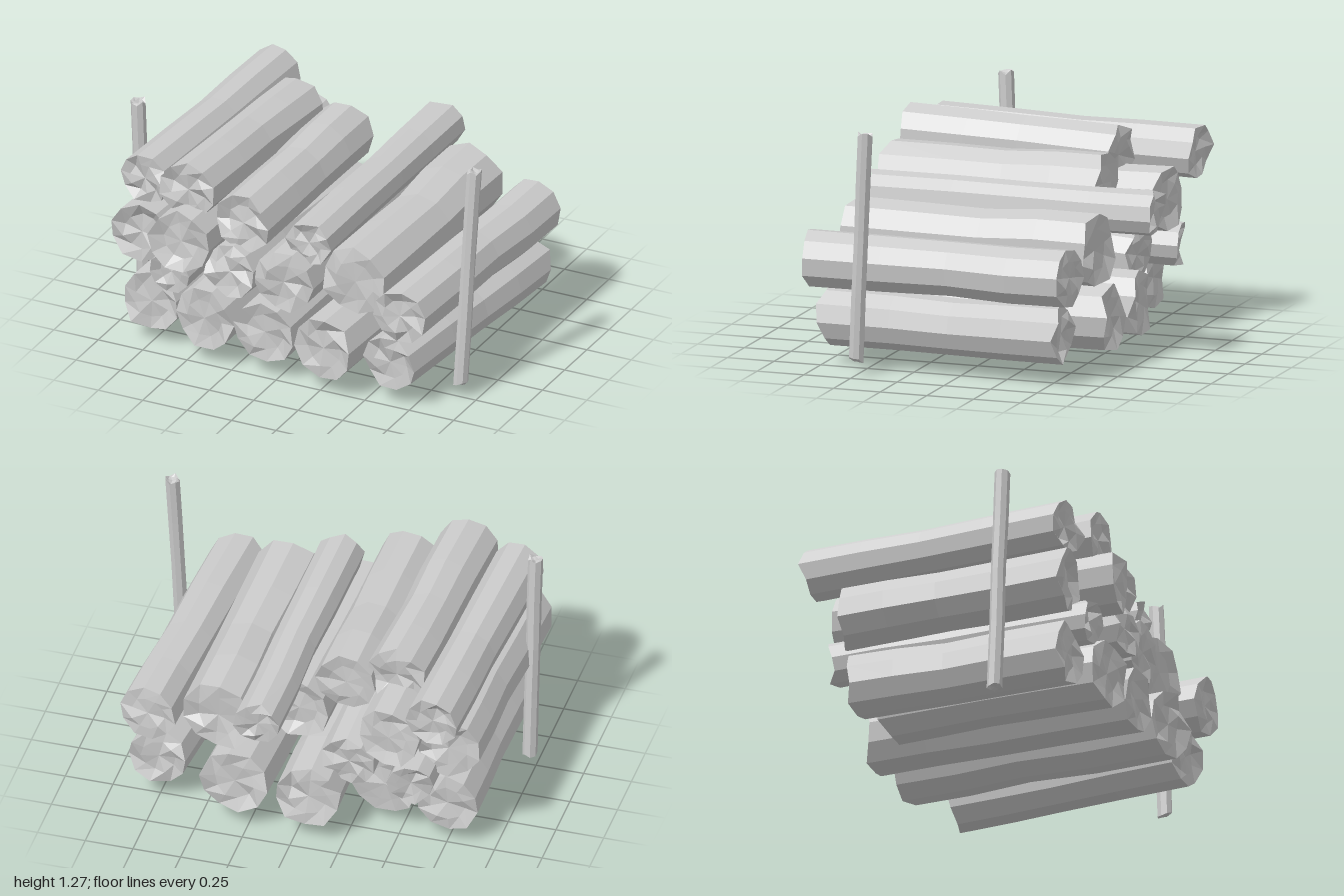
import * as THREE from 'three';

// Small seeded generator, returns values in -1..1
function seeded(seed) {
  let s = seed * 7919 + 17;
  return () => {
    s = (s * 16807) % 2147483647;
    return (s / 2147483647) * 2 - 1;
  };
}

const material = new THREE.MeshStandardMaterial({
  color: 0xcccccc, flatShading: true, side: THREE.DoubleSide,
});

// Faceted round timber from point a to point b, with chipped, dished ends
function timber(name, a, b, radius, sides, seed, chip = 0.025) {
  const rand = seeded(seed);
  for (let i = 0; i < 5; i++) rand();
  const start = new THREE.Vector3(...a), end = new THREE.Vector3(...b);
  const w = end.clone().sub(start);
  const length = w.length();
  w.normalize();
  const ref = Math.abs(w.y) > 0.8 ? new THREE.Vector3(0, 0, 1) : new THREE.Vector3(0, 1, 0);
  const u = ref.clone().cross(w).normalize();
  const v = w.clone().cross(u);
  const turn = rand() * Math.PI;

  // Rings: [distance along axis, radius factor, axial jitter, axis drift]
  const d = chip;
  const rings = [
    [d * 0.6, 0, 0, 0], [d * 0.4, 0.58, d * 0.7, 0], [0, 0.98, d, 0],
    [length * 0.3, 0.97, 0, 0.03], [length * 0.55, 0.94, 0, 0.05], [length * 0.78, 0.98, 0, 0.03],
    [length, 0.99, d, 0], [length - d * 0.4, 0.58, d * 0.7, 0], [length - d * 0.6, 0, 0, 0],
  ];
  const slantA = rand() * chip, slantB = rand() * chip;
  const bumps = Array.from({ length: sides }, () => 1 + rand() * 0.04);
  const loops = rings.map(([t, k, jitter, drift], r) => {
    const dx = rand() * drift * radius, dy = rand() * drift * radius;
    const slant = r < 3 ? slantA : r > 5 ? slantB : 0;
    return bumps.map((bump, j) => {
      const ang = turn + (j / sides) * Math.PI * 2;
      const rr = radius * k * bump;
      return start.clone()
        .addScaledVector(w, t + rand() * jitter + slant * k * Math.cos(ang))
        .addScaledVector(u, Math.cos(ang) * rr + dx)
        .addScaledVector(v, Math.sin(ang) * rr + dy);
    });
  });

  const pos = [];
  const tri = (...pts) => pts.forEach((p) => pos.push(p.x, p.y, p.z));
  for (let i = 0; i < loops.length - 1; i++) {
    for (let j = 0; j < sides; j++) {
      const n = (j + 1) % sides;
      const p = loops[i][j], q = loops[i][n], s = loops[i + 1][n], t = loops[i + 1][j];
      if (i > 0) tri(p, q, s);
      else tri(p, s, t);
      if (i > 0 && i < loops.length - 2) tri(p, s, t);
    }
  }
  const geo = new THREE.BufferGeometry();
  geo.setAttribute('position', new THREE.Float32BufferAttribute(pos, 3));
  geo.computeVertexNormals();
  const mesh = new THREE.Mesh(geo, material);
  mesh.name = name;
  return mesh;
}

// Each log: front x, y, z, back x, y, z, radius
const rows = {
  bottomLog: [
    [-0.75, 0.245, 0.66, -0.75, 0.25, -0.5, 0.165],
    [-0.415, 0.26, 0.74, -0.41, 0.26, -0.45, 0.175],
    [-0.07, 0.265, 0.75, -0.07, 0.27, -0.67, 0.17],
    [0.28, 0.27, 0.79, 0.32, 0.28, -0.66, 0.175],
    [0.63, 0.25, 0.74, 0.75, 0.27, -0.55, 0.155],
  ],
  middleLog: [
    [-0.8, 0.63, 0.67, -0.77, 0.63, -0.55, 0.165],
    [-0.61, 0.47, 0.72, -0.61, 0.47, -0.68, 0.115],
    [-0.505, 0.71, 0.82, -0.49, 0.72, -0.67, 0.165],
    [-0.255, 0.575, 0.77, -0.26, 0.47, -0.59, 0.145],
    [0.035, 0.57, 0.75, 0.06, 0.6, -0.39, 0.17],
    [0.41, 0.63, 0.69, 0.42, 0.635, -0.61, 0.19],
    [0.72, 0.56, 0.81, 0.79, 0.57, -0.61, 0.15],
  ],
  topLog: [
    [-0.79, 0.93, 0.66, -0.74, 0.92, -0.73, 0.14],
    [-0.51, 0.96, 0.73, -0.46, 0.935, -0.42, 0.155],
    [-0.21, 0.83, 0.71, -0.2, 0.84, -0.43, 0.16],
    [0.15, 0.79, 0.69, 0.15, 0.79, -0.83, 0.12],
  ],
};

export function createModel() {
  const model = new THREE.Group();
  model.name = 'logPile';
  let seed = 1;

  // Stacked logs
  for (const [name, logs] of Object.entries(rows)) {
    const group = new THREE.Group();
    group.name = name + 's';
    logs.forEach(([x0, y0, z0, x1, y1, z1, r], i) => {
      group.add(timber(name + (i + 1), [x0, y0, z0], [x1, y1, z1], r, 10, seed++));
    });
    model.add(group);
  }

  // Upright stakes holding the pile on either side
  model.add(timber('rightStake', [-0.945, 0.02, 0.33], [-0.96, 1.2, 0.38], 0.04, 8, 31, 0.016));
  model.add(timber('leftStake', [0.915, 0.09, 0.5], [0.96, 1.27, 0.435], 0.04, 8, 32, 0.016));
  return model;
}
